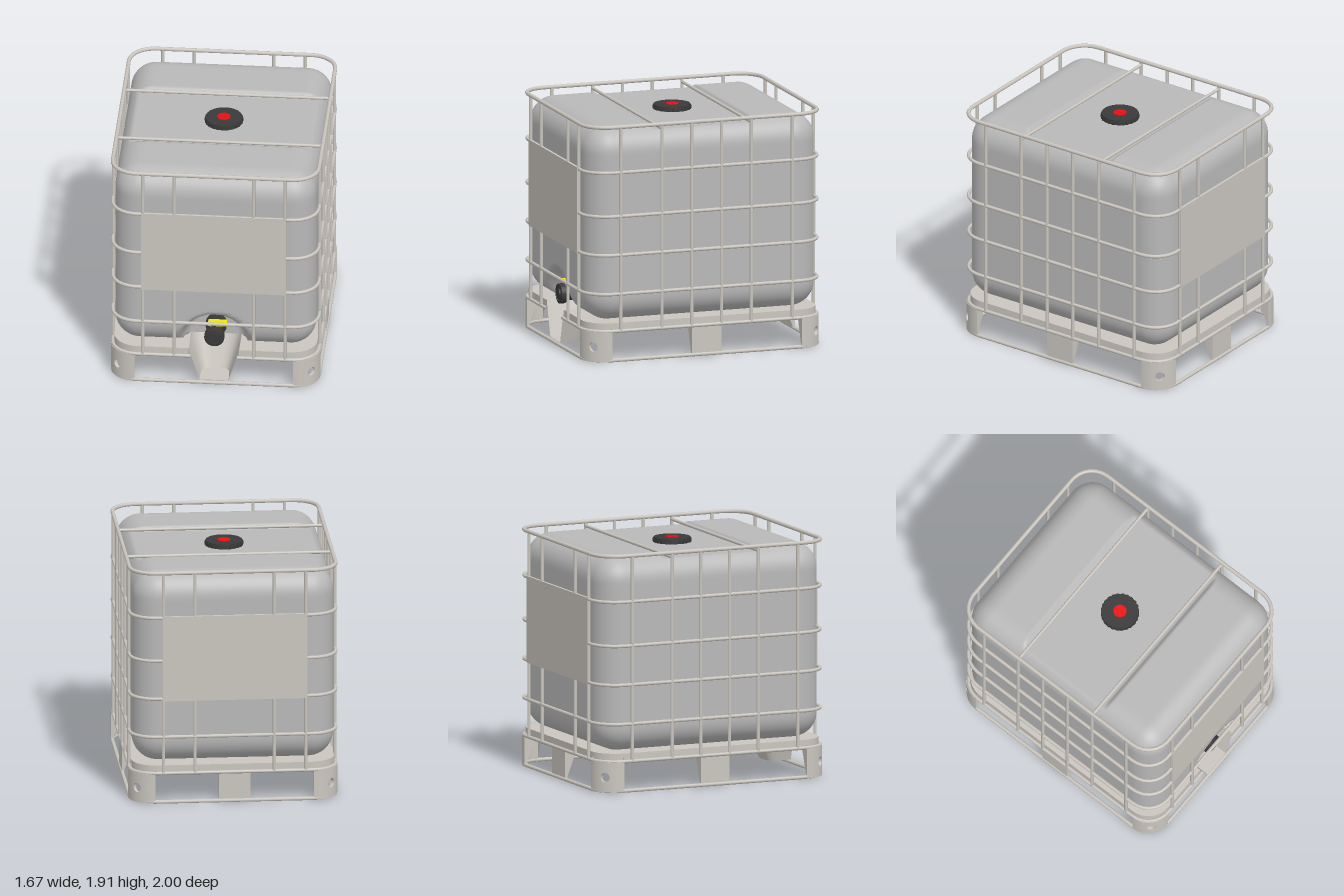
import * as THREE from 'three';
import { mergeVertices } from 'three/addons/utils/BufferGeometryUtils.js';
import { ParametricGeometry } from 'three/addons/geometries/ParametricGeometry.js';

const mat = (color, side = THREE.FrontSide) => new THREE.MeshStandardMaterial({ color, side });
const plastic = mat(0xb8b8b8);
const steel = mat(0xcac5be);
const sheet = mat(0xcac5be, THREE.DoubleSide);
const black = mat(0x3a3a3a);
const red = mat(0xee1111);
const yellow = mat(0xf0e800);

const HX = 0.818, HZ = 0.985; // cage half sizes, to tube centres
const { smoothstep, lerp } = THREE.MathUtils;

function add(parent, name, geometry, material, x = 0, y = 0, z = 0) {
  const mesh = new THREE.Mesh(geometry, material);
  mesh.name = name;
  mesh.position.set(x, y, z);
  parent.add(mesh);
  return mesh;
}

// Rounded rectangle in plan (shape y = world z), with an optional notch in the front edge
function planShape(hx, hz, r, notch = []) {
  const s = new THREE.Shape();
  s.moveTo(hx, -hz + r);
  s.lineTo(hx, hz - r);
  s.absarc(hx - r, hz - r, r, 0, Math.PI / 2);
  notch.forEach(([x, z]) => s.lineTo(x, z));
  s.lineTo(-hx + r, hz);
  s.absarc(-hx + r, hz - r, r, Math.PI / 2, Math.PI);
  s.lineTo(-hx, -hz + r);
  s.absarc(-hx + r, -hz + r, r, Math.PI, Math.PI * 1.5);
  s.lineTo(hx - r, -hz);
  s.absarc(hx - r, -hz + r, r, Math.PI * 1.5, Math.PI * 2);
  return s;
}

// Horizontal tube loop; a gap leaves the middle of the front open
function ringGeometry(radius, gap = 0) {
  let pts = planShape(HX, HZ, 0.2).getSpacedPoints(100).slice(0, -1);
  if (gap) {
    const cut = pts.findIndex(p => p.y > 0.9 && p.x < 0);
    pts = [...pts.slice(cut), ...pts.slice(0, cut)].filter(p => p.y < 0.9 || Math.abs(p.x) > gap);
    pts = [new THREE.Vector2(-gap, HZ), ...pts, new THREE.Vector2(gap, HZ)];
  }
  const curve = new THREE.CatmullRomCurve3(pts.map(p => new THREE.Vector3(p.x, 0, p.y)), !gap);
  return new THREE.TubeGeometry(curve, 140, radius, 10, !gap);
}

// Rounded box with a shallow band across the top and a pocket for the valve
function tankGeometry() {
  const h = new THREE.Vector3(0.798, 0.78, 0.965), r = 0.2, cy = 1.093;
  let g = new THREE.BoxGeometry(h.x * 2, h.y * 2, h.z * 2, 56, 56, 128);
  g.deleteAttribute('uv');
  g.deleteAttribute('normal');
  g = mergeVertices(g);
  const pos = g.attributes.position;
  const p = new THREE.Vector3(), inner = new THREE.Vector3();
  const lim = h.clone().subScalar(r), low = lim.clone().negate();
  for (let i = 0; i < pos.count; i++) {
    p.fromBufferAttribute(pos, i);
    inner.copy(p).clamp(low, lim);
    p.sub(inner).setLength(r).add(inner);
    p.y += cy;
    p.y = Math.min(p.y, 1.836 + 0.037 * smoothstep(Math.abs(p.z), 0.4, 0.43));
    const d = Math.hypot(p.x, p.y - 0.32);
    if (p.z > 0) p.z = Math.min(p.z, 0.965 - 0.25 * (1 - smoothstep(d, 0.2, 0.31)));
    pos.setXYZ(i, p.x, p.y, p.z);
  }
  g.computeVertexNormals();
  return g;
}

// One skin of a curved corner plate; w runs from the round hole (0) to the border (1)
function cornerSkin([w0, r0], [w1, r1]) {
  const hole = 0.037, hw = 0.2 * Math.PI / 4, hh = 0.12;
  return new ParametricGeometry((u, v, target) => {
    const k = (u * 4) % 4, side = Math.floor(k), f = (k - side) * 2 - 1;
    const [a, b] = [[1, f], [-f, 1], [-1, -f], [f, -1]][side];
    const len = Math.hypot(a * hw, b * hh), w = lerp(w0, w1, v), r = lerp(r0, r1, v);
    const t = Math.PI / 4 + lerp(a * hw * hole / len, a * hw, w) / 0.2;
    const y = hh + 0.005 + lerp(b * hh * hole / len, b * hh, w);
    target.set(0.63 + r * Math.cos(t), y, 0.795 + r * Math.sin(t));
  }, 48, 6);
}

// Gusset that tapers towards the ground; lies in the xy plane, reaching along -x
function gusset() {
  return new THREE.ShapeGeometry(new THREE.Shape([
    new THREE.Vector2(0, 0.01), new THREE.Vector2(0, 0.24), new THREE.Vector2(-0.03, 0.296),
    new THREE.Vector2(-0.12, 0.296), new THREE.Vector2(-0.012, 0.01)]));
}

// Plan section of the drain channel: u runs round the U, v from floor to top
function channelPoint(u, v) {
  const c = Math.cos(u * Math.PI), s = Math.max(0, Math.sin(u * Math.PI));
  const half = lerp(0.115, 0.2, v), back = lerp(0.785, 0.66, v);
  return new THREE.Vector2(half * Math.sign(c) * Math.abs(c) ** 0.45, 0.98 - (0.98 - back) * s ** 0.45);
}

function buildCage() {
  const cage = new THREE.Group();
  cage.name = 'cage';
  const ring = ringGeometry(0.014);
  for (const y of [0.548, 0.862, 1.175, 1.528]) add(cage, 'cageRing', ring, steel, 0, y, 0);
  add(cage, 'bottomRing', ringGeometry(0.014, 0.185), steel, 0, 0.249, 0);
  add(cage, 'topRing', ringGeometry(0.016), steel, 0, 1.896, 0);
  const post = new THREE.CylinderGeometry(0.014, 0.014, 1.65, 10);
  const cross = new THREE.CylinderGeometry(0.013, 0.013, HX * 2, 10).rotateZ(Math.PI / 2);
  for (const s of [-1, 1]) {
    for (const x of [-0.565, -0.315, 0.315, 0.565]) add(cage, 'endPost', post, steel, x, 1.07, s * HZ);
    for (const z of [-0.72, -0.375, -0.125, 0.125, 0.375, 0.72]) add(cage, 'sidePost', post, steel, s * HX, 1.07, z);
    add(cage, 'topBar', cross, steel, 0, 1.862, s * 0.375);
    add(cage, 'blankPanel', new THREE.BoxGeometry(1.15, 0.695, 0.012), steel, 0, 1.193, s * 0.994);
  }
  return cage;
}

function buildPallet() {
  const pallet = new THREE.Group();
  pallet.name = 'pallet';
  // Thin deck with a skirt hanging from its edge, both notched for the drain channel
  const notch = (d, z) => [[0.2 + d, z], [0.2 + d, 0.7 - d], [0.15 + d, 0.655 - d],
    [-0.15 - d, 0.655 - d], [-0.2 - d, 0.7 - d], [-0.2 - d, z]];
  const outline = planShape(0.805, 0.975, 0.2, notch(0, 0.975));
  const slab = (shape, depth) =>
    new THREE.ExtrudeGeometry(shape, { depth, bevelEnabled: false, curveSegments: 16 }).rotateX(Math.PI / 2);
  add(pallet, 'deck', slab(outline, 0.015), steel, 0, 0.312, 0);
  const skirt = outline.clone();
  skirt.holes.push(planShape(0.793, 0.963, 0.188, notch(0.012, 0.963)));
  add(pallet, 'deckSkirt', slab(skirt, 0.06), steel, 0, 0.299, 0);
  add(pallet, 'baseRing', ringGeometry(0.015), steel, 0, 0.015, 0);

  // Drain channel: U-shaped wall, open to the front, with a floor
  const wall = new ParametricGeometry((u, v, target) => {
    const p = channelPoint(u, v);
    target.set(p.x, 0.035 + 0.277 * v, p.y);
  }, 48, 4);
  add(pallet, 'drainChannel', wall, sheet);
  const section = Array.from({ length: 33 }, (_, i) => channelPoint(i / 32, 0));
  const floor = new THREE.ShapeGeometry(new THREE.Shape(section)).rotateX(Math.PI / 2);
  add(pallet, 'drainFloor', floor, sheet, 0, 0.035, 0);

  // Corner feet: thick curved plate with a gusset at each end, mirrored to four corners
  const loop = [[0, 0.2], [1, 0.2], [1, 0.175], [0, 0.175]];
  const skins = loop.map((p, i) => cornerSkin(p, loop[(i + 1) % 4]));
  const brace = gusset();
  for (const sx of [-1, 1]) for (const sz of [-1, 1]) {
    const foot = new THREE.Group();
    foot.name = 'cornerFoot';
    foot.scale.set(sx, 1, sz);
    skins.forEach(skin => add(foot, 'footPlate', skin, sheet));
    add(foot, 'footGusset', brace, sheet, 0.83, 0, 0.795);
    add(foot, 'footGusset', brace, sheet, 0.63, 0, 0.995).rotation.y = -Math.PI / 2;
    pallet.add(foot);
  }

  // Middle feet on both sides and at the back
  for (const [angle, dist] of [[0, 0.822], [Math.PI, 0.822], [Math.PI / 2, 0.988]]) {
    const foot = new THREE.Group();
    foot.name = 'middleFoot';
    foot.rotation.y = angle;
    add(foot, 'footPlate', new THREE.BoxGeometry(0.02, 0.225, 0.25), steel, dist - 0.01, 0.1275, 0);
    for (const s of [-1, 1]) add(foot, 'footGusset', brace, sheet, dist, 0, s * 0.125);
    pallet.add(foot);
  }
  return pallet;
}

function buildCap() {
  const cap = new THREE.Group();
  cap.name = 'fillCap';
  cap.position.y = 1.82;
  add(cap, 'capBody', new THREE.CylinderGeometry(0.146, 0.15, 0.055, 40), black, 0, 0.0275, 0);
  for (let i = 0; i < 24; i++) {
    const a = i / 24 * Math.PI * 2;
    add(cap, 'capRib', new THREE.BoxGeometry(0.008, 0.045, 0.02), black, 0.148 * Math.cos(a), 0.024, 0.148 * Math.sin(a)).rotation.y = -a;
  }
  add(cap, 'ventPlug', new THREE.CylinderGeometry(0.053, 0.053, 0.006, 24), red, 0, 0.055, 0);
  for (const a of [0, Math.PI / 2]) add(cap, 'ventGrip', new THREE.BoxGeometry(0.095, 0.006, 0.014), red, 0, 0.06, 0).rotation.y = a;
  return cap;
}

function buildValve() {
  const valve = new THREE.Group();
  valve.name = 'drainValve';
  valve.position.set(0, 0.405, 0);
  // Turned body along z, with collar and stepped outlet
  const profile = [[0, 0.7], [0.085, 0.7], [0.085, 0.76], [0.058, 0.765], [0.058, 0.9], [0.08, 0.905],
    [0.08, 0.95], [0.06, 0.955], [0.06, 0.945], [0.04, 0.945], [0.04, 0.96], [0, 0.96]];
  const body = new THREE.LatheGeometry(profile.map(([r, z]) => new THREE.Vector2(r, z)), 28);
  const bodyMat = mat(0x3a3a3a, THREE.DoubleSide);
  bodyMat.flatShading = true;
  add(valve, 'valveBody', body.rotateX(Math.PI / 2), bodyMat);
  add(valve, 'valveStem', new THREE.CylinderGeometry(0.026, 0.035, 0.075, 20), black, 0, 0.045, 0.86);
  add(valve, 'handleHub', new THREE.BoxGeometry(0.04, 0.03, 0.05), yellow, -0.018, 0.075, 0.88);
  add(valve, 'handle', new THREE.BoxGeometry(0.15, 0.034, 0.055), yellow, 0.022, 0.095, 0.88);
  return valve;
}

export function createModel() {
  const model = new THREE.Group();
  model.name = 'bulkContainer';
  add(model, 'tank', tankGeometry(), plastic);
  model.add(buildCage(), buildPallet(), buildCap(), buildValve());
  return model;
}
